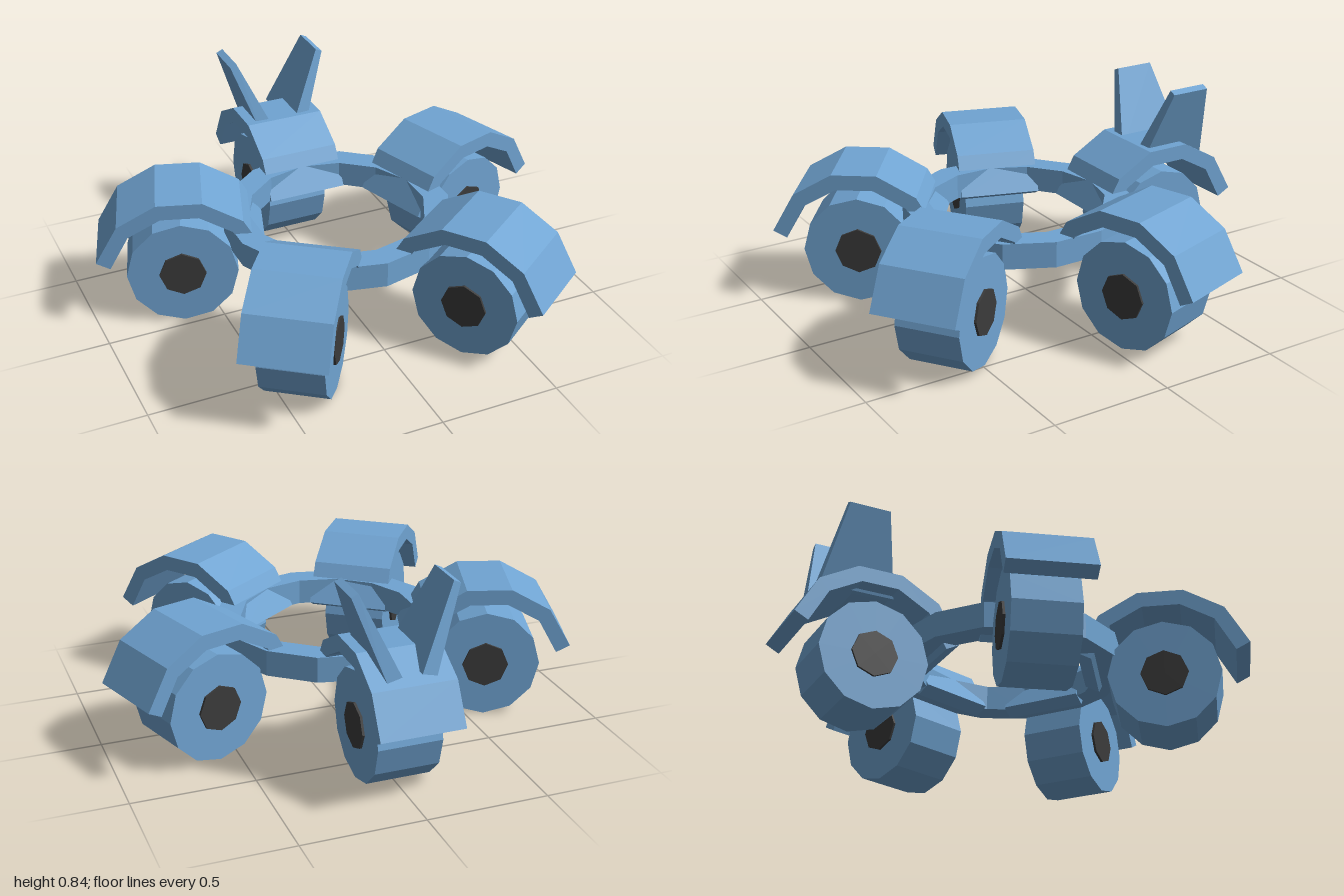
import * as THREE from 'three';

const CENTRE_Z = 0.04; // hub of the five-way layout
const WHEEL_R = 0.65;  // distance from hub to each wheel

const body = new THREE.MeshStandardMaterial({ color: 0x70a4d2, flatShading: true });
body.name = 'body blue';
const dark = new THREE.MeshStandardMaterial({ color: 0x3b3b3b, flatShading: true });
dark.name = 'hub charcoal';

function part(name, geometry, material = body) {
  const mesh = new THREE.Mesh(geometry, material);
  mesh.name = name;
  return mesh;
}

// Arched mudguard: half a profile (offset from wheel, height), mirrored
function fenderGeometry() {
  const outer = [[0.093, 0.575], [0.253, 0.485], [0.344, 0.325]];
  const inner = [[0.288, 0.295], [0.21, 0.437], [0.077, 0.511]];
  const mirror = (list) => list.map(([x, y]) => [-x, y]).reverse();
  const points = [...outer, ...inner, ...mirror(inner), ...mirror(outer)];
  const shape = new THREE.Shape(points.map(([x, y]) => new THREE.Vector2(x, y)));
  const geometry = new THREE.ExtrudeGeometry(shape, { depth: 0.342, bevelEnabled: false });
  return geometry.translate(0, 0, -0.171);
}

// Tapered fin leaning outward, made by moving the corners of a box
function finGeometry(side) {
  const geometry = new THREE.BoxGeometry(1, 1, 1);
  const p = geometry.attributes.position;
  for (let i = 0; i < p.count; i++) {
    const isOuter = p.getX(i) * side > 0;
    const isTop = p.getY(i) > 0;
    const isFront = p.getZ(i) > 0;
    const x = isTop ? (isOuter ? 0.215 : 0.187) : (isOuter ? 0.1 : 0.04);
    const y = isTop ? (isOuter ? 0.825 : 0.838) : (isOuter ? 0.5 : 0.515);
    const z = isTop ? (isFront ? -0.597 : -0.768) : (isFront ? -0.525 : -0.838);
    p.setXYZ(i, side * x, y, z);
  }
  geometry.computeVertexNormals();
  return geometry;
}

export function createModel() {
  const model = new THREE.Group();
  model.name = 'fiveWheelRover';

  // Central ring chassis
  const profile = [[0.368, 0.32], [0.475, 0.32], [0.475, 0.427], [0.368, 0.427], [0.368, 0.32]];
  const ring = part('ringChassis', new THREE.LatheGeometry(
    profile.map(([x, y]) => new THREE.Vector2(x, y)), 14));
  ring.position.z = CENTRE_Z;
  model.add(ring);

  // Five identical wheel pods, the first at the back
  const fender = fenderGeometry();
  const wheel = new THREE.CylinderGeometry(0.228, 0.228, 0.264, 12).rotateX(Math.PI / 2);
  const hub = new THREE.CylinderGeometry(0.096, 0.096, 0.284, 8).rotateX(Math.PI / 2);
  for (let i = 0; i < 5; i++) {
    const pod = new THREE.Group();
    pod.name = 'wheelPod' + (i + 1);
    const assembly = [part('fender', fender), part('wheel', wheel), part('wheelHub', hub, dark)];
    assembly.forEach((mesh, k) => {
      mesh.position.set(WHEEL_R, k ? 0.229 : 0, 0);
      pod.add(mesh);
    });
    pod.position.z = CENTRE_Z;
    pod.rotation.y = Math.PI / 2 + (i * Math.PI * 2) / 5;
    model.add(pod);
  }

  // Pair of fins on the back fender
  model.add(part('leftFin', finGeometry(1)), part('rightFin', finGeometry(-1)));
  return model;
}
